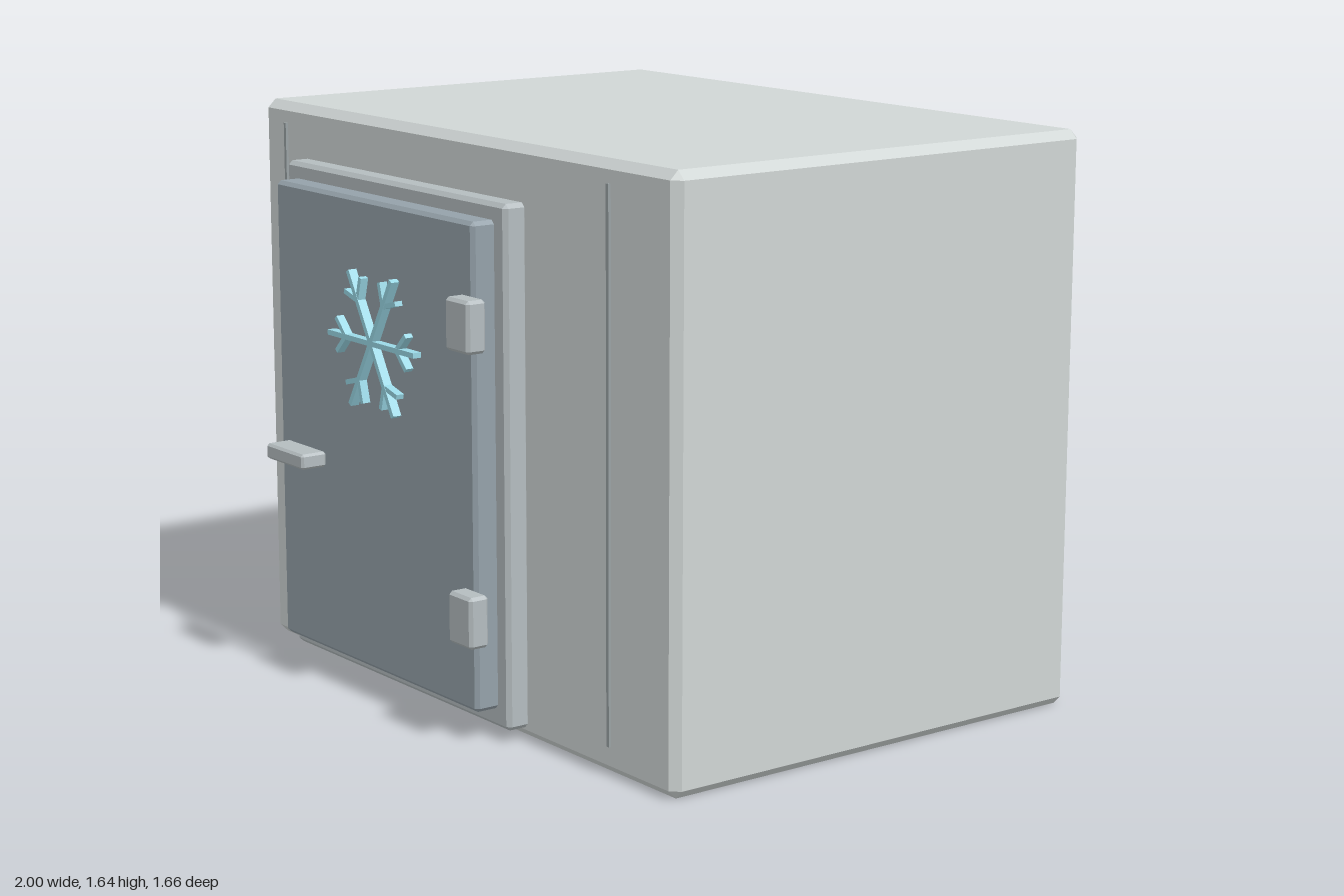
import * as THREE from 'three';
import { ConvexGeometry } from 'three/addons/geometries/ConvexGeometry.js';

const material = (color) => new THREE.MeshStandardMaterial({ color });

// Box given by its min and max corners, with every edge cut by a flat chamfer c
function chamferBox(name, [x0, y0, z0], [x1, y1, z1], c, mat) {
  const h = [(x1 - x0) / 2, (y1 - y0) / 2, (z1 - z0) / 2];
  const points = [];
  for (const sx of [-1, 1]) for (const sy of [-1, 1]) for (const sz of [-1, 1]) {
    for (let axis = 0; axis < 3; axis++) {
      const p = h.map((v, i) => (i === axis ? v : v - c));
      points.push(new THREE.Vector3(sx * p[0], sy * p[1], sz * p[2]));
    }
  }
  const mesh = new THREE.Mesh(new ConvexGeometry(points), mat);
  mesh.position.set((x0 + x1) / 2, (y0 + y1) / 2, (z0 + z1) / 2);
  mesh.name = name;
  return mesh;
}

// Flat bar starting at (x, y) and running along an angle
function bar(name, x, y, angle, length, width, depth, mat) {
  const geometry = new THREE.BoxGeometry(length, width, depth).translate(length / 2, 0, 0);
  const mesh = new THREE.Mesh(geometry, mat);
  mesh.position.set(x, y, 0);
  mesh.rotation.z = angle;
  mesh.name = name;
  return mesh;
}

function createSnowflake(mat) {
  const flake = new THREE.Group();
  flake.name = 'snowflake';
  const fork = 0.13;
  for (let i = 0; i < 6; i++) {
    const a = (i * Math.PI) / 3;
    flake.add(bar('snowflakeArm', 0, 0, a, 0.22, 0.015, 0.026, mat));
    for (const side of [-1, 1]) {
      flake.add(bar('snowflakeBranch', fork * Math.cos(a), fork * Math.sin(a),
        a + (side * Math.PI) / 4, 0.068, 0.014, 0.024, mat));
    }
  }
  flake.position.set(-0.15, 1.053, 0.752);
  return flake;
}

export function createModel() {
  const model = new THREE.Group();
  model.name = 'coldRoom';
  const panel = material(0xd0d6d5);
  const metal = material(0xb4bcbf);
  const doorPaint = material(0x94a1a9);
  const seamPaint = material(0x9aa2a4);
  const ice = material(0x9ad8e6);

  // Insulated room
  model.add(chamferBox('roomBody', [-1, 0, -0.83], [1, 1.645, 0.585], 0.025, panel));

  // Panel seams on the front wall
  for (const x of [-0.87, 0.722]) {
    const seam = new THREE.Mesh(new THREE.BoxGeometry(0.011, 1.505, 0.016), seamPaint);
    seam.position.set(x, 0.832, 0.585);
    seam.name = 'panelSeam';
    model.add(seam);
  }

  // Door frame and door leaf
  model.add(chamferBox('doorFrame', [-0.767, 0.033, 0.575], [0.346, 1.49, 0.65], 0.012, metal));
  model.add(chamferBox('door', [-0.714, 0.087, 0.63], [0.295, 1.443, 0.72], 0.011, doorPaint));

  // Hinges
  for (const y of [0.29, 1.1]) {
    model.add(chamferBox('hinge', [0.247, y, 0.718], [0.357, y + 0.145, 0.78], 0.009, metal));
  }

  // Handle
  model.add(chamferBox('handle', [-0.624, 0.648, 0.744], [-0.424, 0.693, 0.826], 0.007, metal));

  model.add(createSnowflake(ice));
  return model;
}
